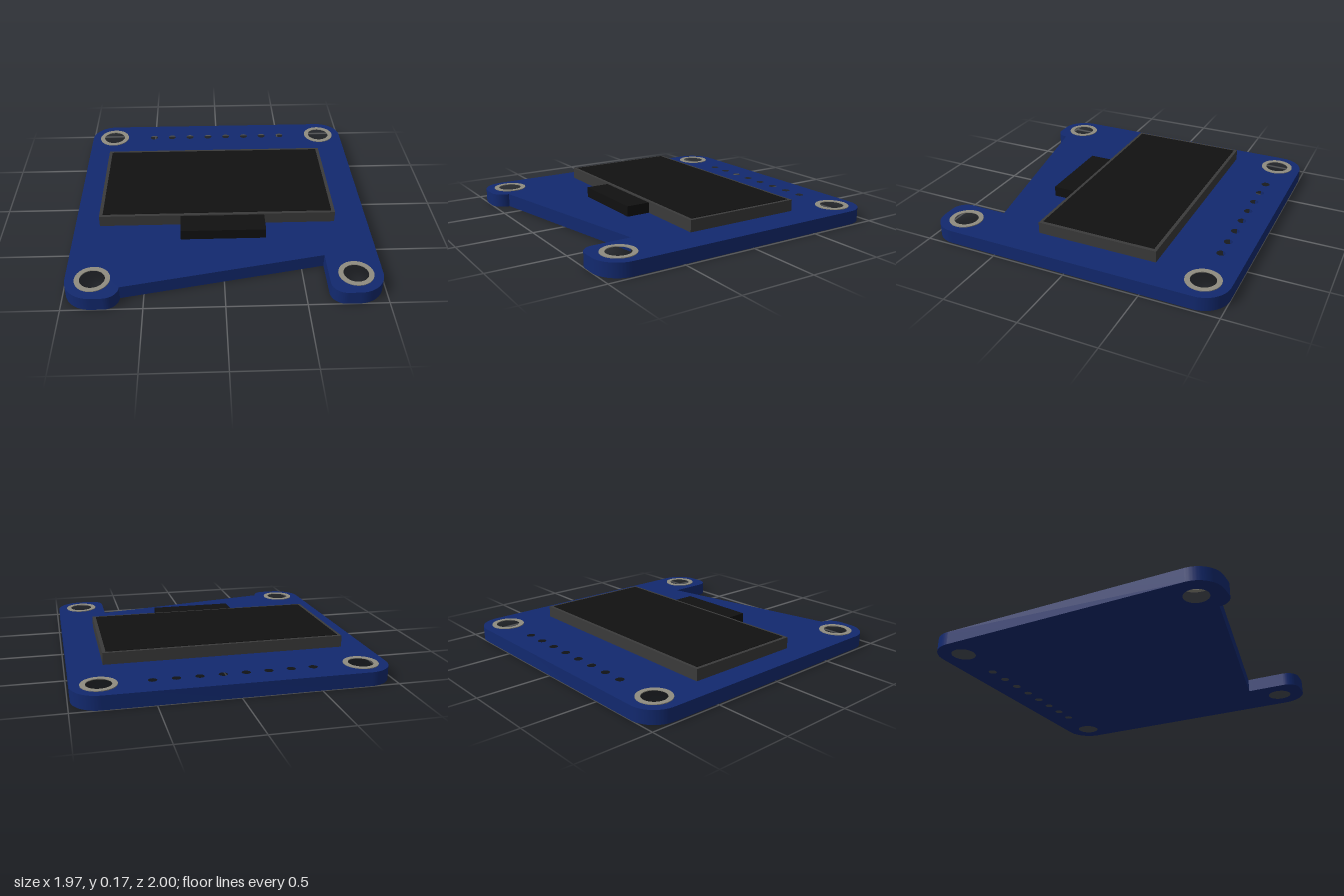
import * as THREE from 'three';
import { toCreasedNormals } from 'three/addons/utils/BufferGeometryUtils.js';

const BOARD_TOP = 0.09;
const HOLE_X = 0.815, HOLE_Z = 0.83, HOLE_R = 0.079;

const mat = (color) => new THREE.MeshStandardMaterial({ color });
const blue = mat(0x12296f), metal = mat(0x8f8c80), frameGrey = mat(0x3a3a3a), black = mat(0x111111);

// Circular hole; shape y is -z of the model
function hole(x, z, r) {
  const p = new THREE.Path();
  p.absarc(x, -z, r, 0, Math.PI * 2, true);
  return p;
}

// Extrudes a plan-view shape upward from y0
function slab(name, shape, y0, height, material) {
  const geo = new THREE.ExtrudeGeometry(shape, { depth: height, bevelEnabled: false, curveSegments: 20 });
  geo.rotateX(-Math.PI / 2);
  geo.translate(0, y0, 0);
  const mesh = new THREE.Mesh(toCreasedNormals(geo, 0.6), material);
  mesh.name = name;
  return mesh;
}

// Box given by its plan limits and heights
function box(name, x0, x1, y0, y1, z0, z1, material) {
  const mesh = new THREE.Mesh(new THREE.BoxGeometry(x1 - x0, y1 - y0, z1 - z0), material);
  mesh.position.set((x0 + x1) / 2, (y0 + y1) / 2, (z0 + z1) / 2);
  mesh.name = name;
  return mesh;
}

// Board outline: rounded square with a notch between two front tabs
function boardShape() {
  const w = 0.985, r = 0.17, tab = 0.645, ri = 0.095, notch = -0.65, H = Math.PI / 2;
  const s = new THREE.Shape();
  s.moveTo(-tab, notch);
  s.absarc(-tab - ri, -1 + ri, ri, 0, -H, true);
  s.absarc(-w + r, -1 + r, r, -H, -2 * H, true);
  s.absarc(-w + r, 1 - r, r, 2 * H, H, true);
  s.absarc(w - r, 1 - r, r, H, 0, true);
  s.absarc(w - r, -1 + r, r, 0, -H, true);
  s.absarc(tab + ri, -1 + ri, ri, -H, -2 * H, true);
  s.lineTo(tab, notch);
  s.closePath();
  return s;
}

export function createModel() {
  const model = new THREE.Group();
  model.name = 'displayModule';

  // Circuit board with mounting holes and a row of pin holes
  const shape = boardShape();
  const corners = [[-1, -1], [1, -1], [-1, 1], [1, 1]].map(([a, b]) => [a * HOLE_X, b * HOLE_Z]);
  for (const [x, z] of corners) shape.holes.push(hole(x, z, HOLE_R));
  for (let i = 0; i < 8; i++) shape.holes.push(hole((i - 3.5) * 0.143, -HOLE_Z, 0.028));
  model.add(slab('circuitBoard', shape, 0, BOARD_TOP, blue));

  // Metal rings around the mounting holes
  for (const [x, z] of corners) {
    const ring = new THREE.Shape();
    ring.absarc(x, -z, 0.111, 0, Math.PI * 2, false);
    ring.holes.push(hole(x, z, HOLE_R));
    model.add(slab('mountingRing', ring, BOARD_TOP, 0.005, metal));
  }

  // Screen body, dark glass and ribbon connector
  model.add(box('screenFrame', -0.82, 0.763, BOARD_TOP, 0.167, -0.51, 0.302, frameGrey));
  model.add(box('screenGlass', -0.797, 0.74, 0.16, 0.17, -0.488, 0.28, black));
  model.add(box('ribbonConnector', -0.275, 0.285, BOARD_TOP, 0.16, 0.302, 0.462, black));
  return model;
}
